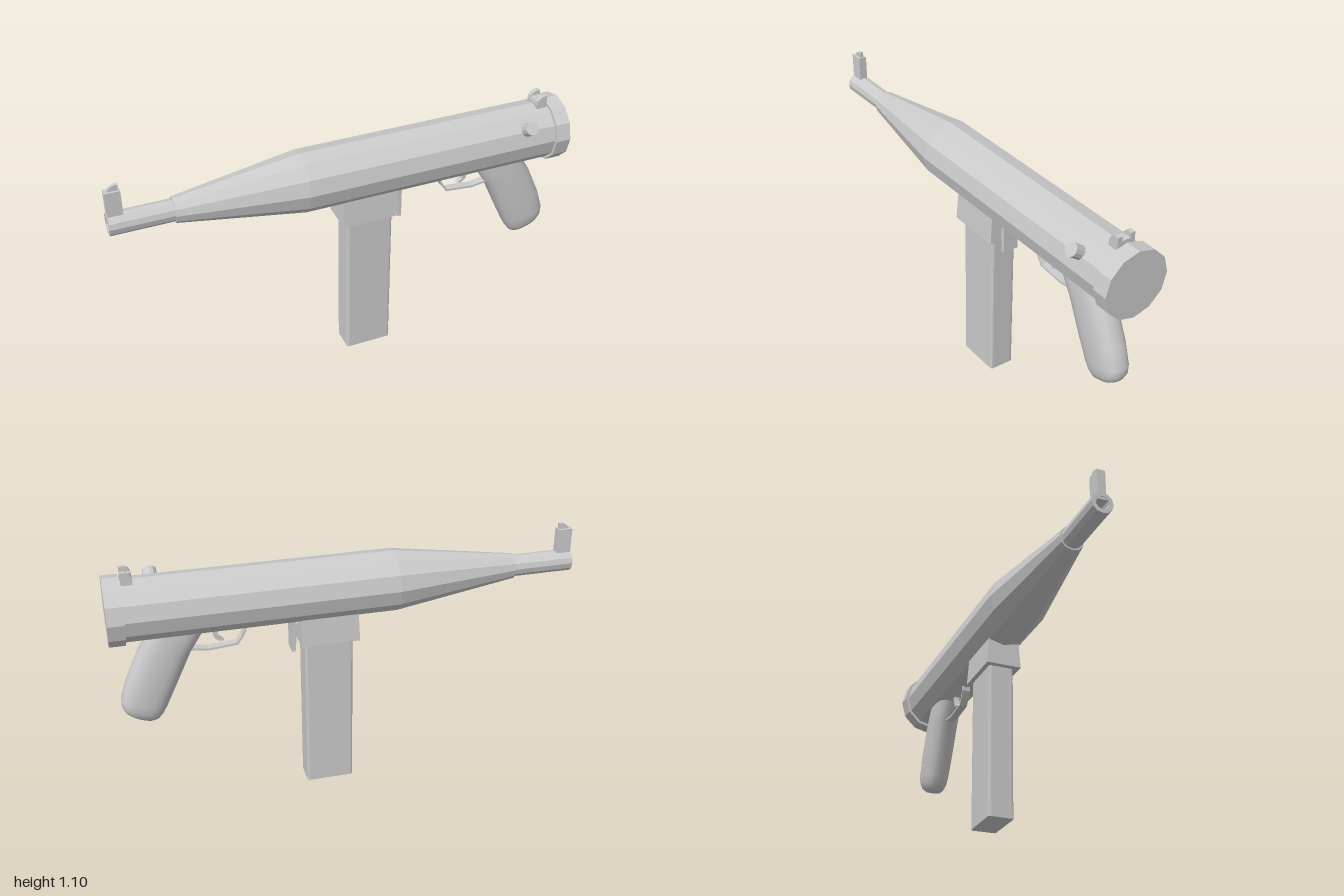
import * as THREE from 'three';

const ZC = -0.006; // centre plane of the model
const AXIS_Y = 0.925; // height of the barrel axis

const flat = new THREE.MeshStandardMaterial({ color: 0xcccccc, flatShading: true });
const smooth = new THREE.MeshStandardMaterial({ color: 0xcccccc });

export function createModel() {
  const model = new THREE.Group();

  const add = (name, geometry, material = flat, x = 0, y = 0, z = ZC) => {
    const mesh = new THREE.Mesh(geometry, material);
    mesh.name = name;
    mesh.position.set(x, y, z);
    model.add(mesh);
    return mesh;
  };

  // Side outline (x, y) given thickness across z, centred on the model
  const plate = (name, points, depth, z = ZC) => {
    const shape = new THREE.Shape(points.map(([x, y]) => new THREE.Vector2(x, y)));
    const g = new THREE.ExtrudeGeometry(shape, { depth, bevelEnabled: false });
    return add(name, g.translate(0, 0, -depth / 2), flat, 0, 0, z);
  };

  // Twelve-sided turned part along x, from (x, radius) points
  const turned = (name, profile) => {
    const pts = profile.map(([x, r]) => new THREE.Vector2(r, x));
    return add(name, new THREE.LatheGeometry(pts, 12).rotateZ(-Math.PI / 2), flat, 0, AXIS_Y);
  };

  // Barrel with bore, receiver and end cap
  turned('barrel', [[-0.8, 0], [-0.8, 0.029], [-1, 0.029], [-1, 0.047], [-0.72, 0.047], [-0.72, 0]]);
  turned('receiver', [[-0.737, 0], [-0.737, 0.054], [-0.2, 0.132], [0.94, 0.132], [0.94, 0]]);
  turned('endCap', [[0.932, 0], [0.932, 0.145], [1, 0.145], [1, 0]]);

  // Front sight: post and rounded blade
  plate('frontSightPost', [[-0.998, 0.94], [-0.935, 0.94], [-0.935, 1.075], [-0.998, 1.075]], 0.036);
  plate('frontSightBlade', [
    [-0.99, 1.07], [-0.941, 1.07], [-0.941, 1.1], [-0.953, 1.1], [-0.968, 1.095], [-0.98, 1.086],
  ], 0.015);

  // Rear sight: base with two rounded ears
  plate('rearSightBase', [[0.88, 1.03], [0.927, 1.03], [0.927, 1.08], [0.885, 1.08], [0.88, 1.065]], 0.08);
  for (const side of [-1, 1]) {
    plate('rearSightEar', [
      [0.88, 1.05], [0.927, 1.05], [0.927, 1.1], [0.908, 1.1], [0.893, 1.093], [0.883, 1.08],
    ], 0.02, ZC + side * 0.03);
  }

  // Charging knob, tilted up from the +z side
  const tilt = THREE.MathUtils.degToRad(34);
  const knob = add('chargingKnob', new THREE.CylinderGeometry(0.029, 0.029, 0.075, 12), flat,
    0.8, AXIS_Y + Math.sin(tilt) * 0.138, ZC + Math.cos(tilt) * 0.138);
  knob.rotation.x = Math.PI / 2 - tilt;

  // Magazine housing, flaring slightly toward the bottom
  const housing = new THREE.BoxGeometry(0.245, 0.125, 0.14);
  const p = housing.attributes.position;
  for (let i = 0; i < p.count; i++) {
    if (p.getY(i) < 0) p.setXYZ(i, p.getX(i) * 1.03, p.getY(i), p.getZ(i) * 1.13);
  }
  add('magazineHousing', housing, flat, 0.09, 0.757);

  // Magazine: upright bar with softened corners
  const w = 0.104, d = 0.057, c = 0.012;
  const section = new THREE.Shape();
  section.moveTo(-w + c, -d).lineTo(w - c, -d).quadraticCurveTo(w, -d, w, -d + c);
  section.lineTo(w, d - c).quadraticCurveTo(w, d, w - c, d);
  section.lineTo(-w + c, d).quadraticCurveTo(-w, d, -w, d - c);
  section.lineTo(-w, -d + c).quadraticCurveTo(-w, -d, -w + c, -d);
  const mag = new THREE.ExtrudeGeometry(section, { depth: 0.72, bevelEnabled: false, curveSegments: 3 });
  add('magazine', mag.rotateX(-Math.PI / 2), flat, 0.093, 0, -0.008);

  // Magazine catch
  plate('magazineCatch', [
    [0.23, 0.81], [0.228, 0.72], [0.234, 0.655], [0.249, 0.655], [0.249, 0.79], [0.245, 0.81],
  ], 0.07);
  plate('catchPivot', [[0.2, 0.735], [0.24, 0.735], [0.24, 0.78], [0.2, 0.78]], 0.04);

  // Trigger guard and trigger
  plate('triggerGuard', [
    [0.434, 0.82], [0.435, 0.775], [0.45, 0.745], [0.474, 0.712], [0.6, 0.701], [0.67, 0.712],
    [0.67, 0.721], [0.6, 0.71], [0.479, 0.721], [0.458, 0.75], [0.444, 0.778], [0.443, 0.82],
  ], 0.036);
  plate('trigger', [
    [0.555, 0.82], [0.557, 0.785], [0.55, 0.755], [0.53, 0.737], [0.548, 0.736],
    [0.567, 0.75], [0.578, 0.775], [0.585, 0.82],
  ], 0.022);

  // Grip: rounded sections from front edge to back edge, with half width
  const sections = [
    [0.595, 0.86, 0.82, 0.86, 0.06], [0.612, 0.8, 0.845, 0.8, 0.063],
    [0.672, 0.705, 0.885, 0.735, 0.065], [0.735, 0.57, 0.947, 0.6, 0.065],
    [0.785, 0.465, 0.975, 0.515, 0.062], [0.803, 0.432, 0.975, 0.48, 0.057],
    [0.822, 0.408, 0.962, 0.452, 0.046], [0.845, 0.397, 0.935, 0.428, 0.028],
    [0.885, 0.408, 0.885, 0.408, 0],
  ];
  const N = 24, verts = [], index = [];
  const soft = (v) => Math.sign(v) * Math.abs(v) ** 0.8;
  sections.forEach(([fx, fy, bx, by, half], r) => {
    for (let i = 0; i < N; i++) {
      const a = (i / N) * Math.PI * 2;
      const u = soft(Math.cos(a)) / 2;
      verts.push((fx + bx) / 2 + u * (bx - fx), (fy + by) / 2 + u * (by - fy), half * soft(Math.sin(a)));
      if (r === sections.length - 1) continue;
      const p0 = r * N + i, p1 = r * N + ((i + 1) % N);
      index.push(p0, p1, p0 + N, p1, p1 + N, p0 + N);
    }
  });
  const grip = new THREE.BufferGeometry();
  grip.setAttribute('position', new THREE.Float32BufferAttribute(verts, 3));
  grip.setIndex(index);
  grip.computeVertexNormals();
  add('grip', grip, smooth);

  return model;
}
